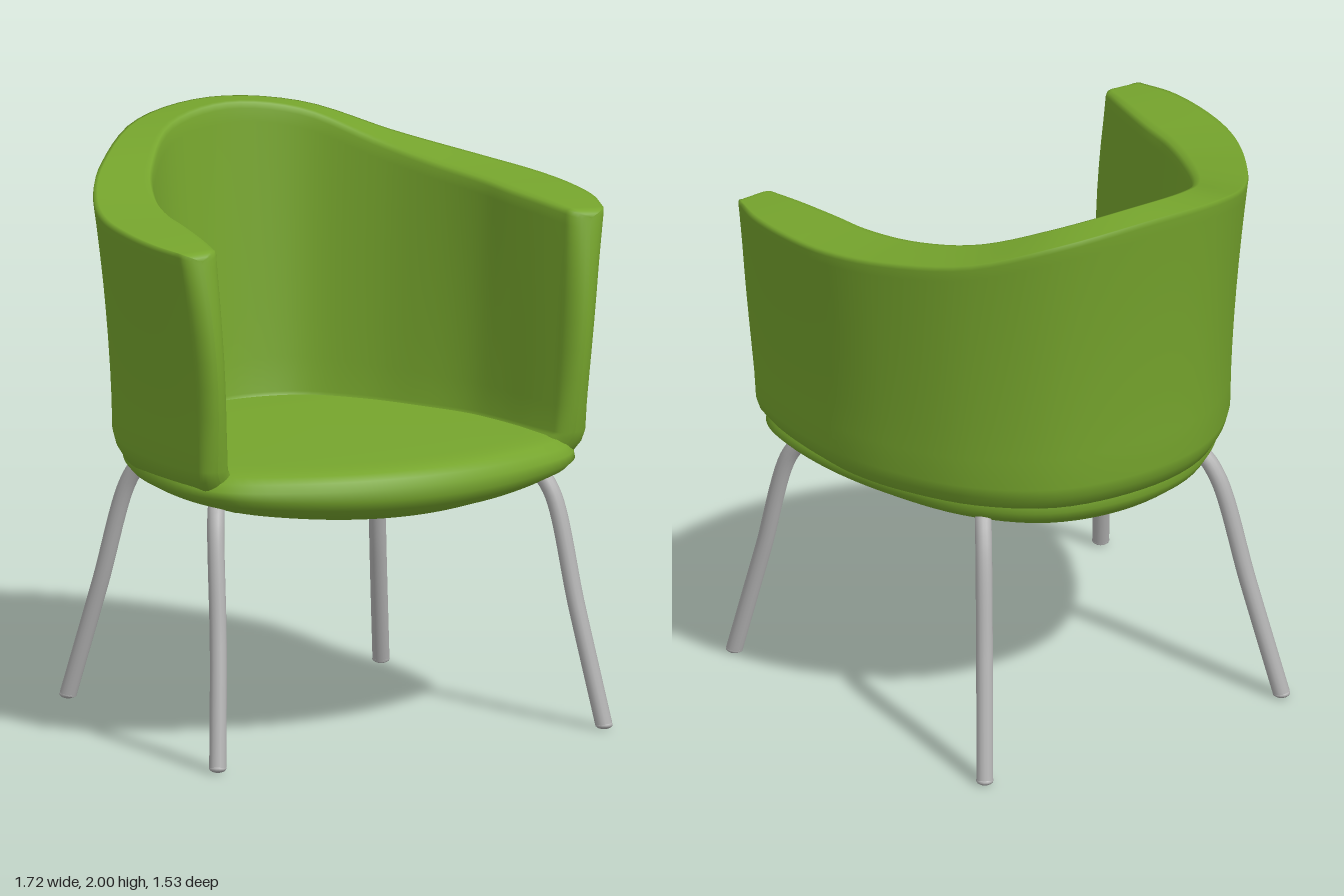
import * as THREE from 'three';

const V = (x, y, z) => new THREE.Vector3(x, y, z);

// Smooth curve through half-outline points [x, z, y], mirrored across x = 0
function mirroredCurve(half) {
  const right = half.map(([x, z, y = 0]) => V(x, y, z));
  const left = right.slice(1).reverse().map(p => V(-p.x, p.y, p.z));
  return new THREE.CatmullRomCurve3([...left, ...right], false, 'centripetal');
}

// Skin a list of closed rings (equal point counts)
function skin(rings) {
  const n = rings[0].length, pos = [], idx = [];
  rings.forEach(r => r.forEach(p => pos.push(p.x, p.y, p.z)));
  for (let i = 0; i < rings.length - 1; i++) {
    for (let j = 0; j < n; j++) {
      const k = (j + 1) % n;
      const a = i * n + j, b = a + n, c = i * n + k, d = c + n;
      idx.push(a, c, b, c, d, b);
    }
  }
  const g = new THREE.BufferGeometry();
  g.setAttribute('position', new THREE.Float32BufferAttribute(pos, 3));
  g.setIndex(idx);
  g.computeVertexNormals();
  return g;
}

// Wrap-around back and arms
function wallGeometry() {
  const outerTop = mirroredCurve([[0, -0.768, 2.0], [0.32, -0.705, 1.965], [0.57, -0.5, 1.875], [0.75, -0.22, 1.825],
    [0.835, 0, 1.805], [0.862, 0.2, 1.795], [0.855, 0.38, 1.785], [0.82, 0.505, 1.775]]);
  const outerLow = mirroredCurve([[0, -0.685], [0.3, -0.63], [0.53, -0.45], [0.68, -0.2],
    [0.745, 0], [0.768, 0.2], [0.765, 0.38], [0.745, 0.505]]);
  const innerTop = mirroredCurve([[0, -0.64], [0.25, -0.575], [0.43, -0.38], [0.54, -0.16],
    [0.6, 0.04], [0.62, 0.2], [0.65, 0.38], [0.675, 0.505]]);
  const innerLow = mirroredCurve([[0, -0.54], [0.2, -0.49], [0.36, -0.32], [0.47, -0.12],
    [0.55, 0.05], [0.585, 0.2], [0.61, 0.38], [0.63, 0.505]]);
  // tucked-under part [y, scale], then fractions of the wall height
  const tuck = [[0.82, 0.7], [0.855, 0.8], [0.89, 0.885], [0.93, 0.95], [0.97, 0.985]];
  const heights = [0, 0.12, 0.25, 0.38, 0.5, 0.62, 0.74, 0.85, 0.93, 0.975, 0.995, 1];

  // outer/inner point pairs, bottom to top, at parameter u
  const section = u => {
    const ot = outerTop.getPoint(u), ol = outerLow.getPoint(u);
    const it = innerTop.getPoint(u), il = innerLow.getPoint(u);
    const top = ot.y;
    ot.y = 0;
    const pairs = tuck.map(([y, s]) => [
      ol.clone().multiplyScalar(s).setY(y),
      il.clone().multiplyScalar(s).setY(y + 0.03)]);
    heights.forEach((h, k) => {
      const y = 1.01 + (top - 1.01) * h;
      const o = ol.clone().lerp(ot, Math.pow(h, 1.6));
      const i = il.clone().lerp(it, Math.pow(h, 0.9));
      const inset = k === heights.length - 1 ? 0.14 : k === heights.length - 2 ? 0.04 : 0;
      const o2 = o.clone().lerp(i, inset * 0.6), i2 = i.clone().lerp(o, inset);
      pairs.push([o2.setY(y - (inset > 0.1 ? 0.006 : 0)), i2.setY(y)]);
    });
    return pairs;
  };
  const ring = pairs => [...pairs.map(p => p[0]), ...pairs.map(p => p[1]).reverse()];

  // rounded front of an arm: the section closes on its middle while moving forward
  const endRing = (u, a) => ring(section(u).map(([o, i]) => {
    const mid = o.clone().add(i).multiplyScalar(0.5);
    const h = THREE.MathUtils.clamp((o.y - 1) / 0.78, 0, 1);
    const bulge = 0.04 + 0.04 * Math.sin(Math.PI * h);
    return [o, i].map(p => {
      const q = mid.clone().lerp(p, Math.cos(a));
      q.z += bulge * Math.sin(a);
      q.y -= 0.03 * h ** 6 * (1 - Math.cos(a));
      return q;
    });
  }));

  const rings = [], N = 72, E = 7;
  for (let k = E; k > 0; k--) rings.push(endRing(0, k / E * Math.PI / 2));
  for (let k = 0; k <= N; k++) rings.push(ring(section(k / N)));
  for (let k = 1; k <= E; k++) rings.push(endRing(1, k / E * Math.PI / 2));
  return skin(rings);
}

// Padded seat, bowed at the front and domed below
function seatGeometry() {
  const half = [[0, 0.765], [0.22, 0.745], [0.45, 0.68], [0.66, 0.57], [0.735, 0.44], [0.74, 0.15],
    [0.66, -0.15], [0.52, -0.4], [0.3, -0.58], [0, -0.64]];
  const left = half.slice(1, -1).reverse().map(([x, z]) => [-x, z]);
  const outline = new THREE.CatmullRomCurve3([...half, ...left].map(([x, z]) => V(x, 0, z)), true)
    .getPoints(96).slice(0, -1);
  const levels = [[0, 0.782], [0.35, 0.782], [0.65, 0.788], [0.8, 0.802], [0.91, 0.83], [0.97, 0.86], [1, 0.895],
    [0.995, 0.935], [0.975, 0.965], [0.94, 0.985], [0.89, 0.995], [0.8, 1.0], [0.4, 1.003], [0, 1.005]];
  return skin(levels.map(([s, y]) => outline.map(p => {
    const x = p.x * s;
    const lift = 0.13 * x * x * Math.max(0, (0.95 - y) / 0.17);
    return V(x, y + lift, p.z * s);
  })));
}

export function createModel() {
  const upholstery = new THREE.MeshStandardMaterial({ color: 0x76a52d });
  upholstery.name = 'green upholstery';
  const metal = new THREE.MeshStandardMaterial({ color: 0xb2b2b2 });
  metal.name = 'grey metal';

  const chair = new THREE.Group();
  chair.name = 'armchair';
  const add = (parent, name, geometry, material) => {
    const m = new THREE.Mesh(geometry, material);
    m.name = name;
    parent.add(m);
    return m;
  };

  add(chair, 'backAndArms', wallGeometry(), upholstery);
  add(chair, 'seat', seatGeometry(), upholstery);

  // Splayed tube legs, bent where they run in under the seat
  const legs = {
    front: [[0.53, 0.875, 0.32], [0.61, 0.865, 0.4], [0.645, 0.8, 0.455], [0.69, 0.41, 0.555], [0.743, 0.015, 0.648]],
    back: [[0.38, 0.875, -0.33], [0.44, 0.86, -0.41], [0.475, 0.78, -0.465], [0.535, 0.41, -0.56], [0.602, 0.015, -0.662]],
  };
  for (const [place, points] of Object.entries(legs)) {
    for (const [side, s] of [['Left', 1], ['Right', -1]]) {
      const leg = new THREE.Group();
      leg.name = place + side + 'Leg';
      const path = new THREE.CatmullRomCurve3(points.map(([x, y, z]) => V(s * x, y, z)));
      add(leg, 'legTube', new THREE.TubeGeometry(path, 40, 0.029, 14), metal);
      const foot = add(leg, 'footCap', new THREE.SphereGeometry(0.03, 14, 8), metal);
      foot.scale.y = 0.5;
      foot.position.copy(path.getPoint(1));
      chair.add(leg);
    }
  }
  return chair;
}
